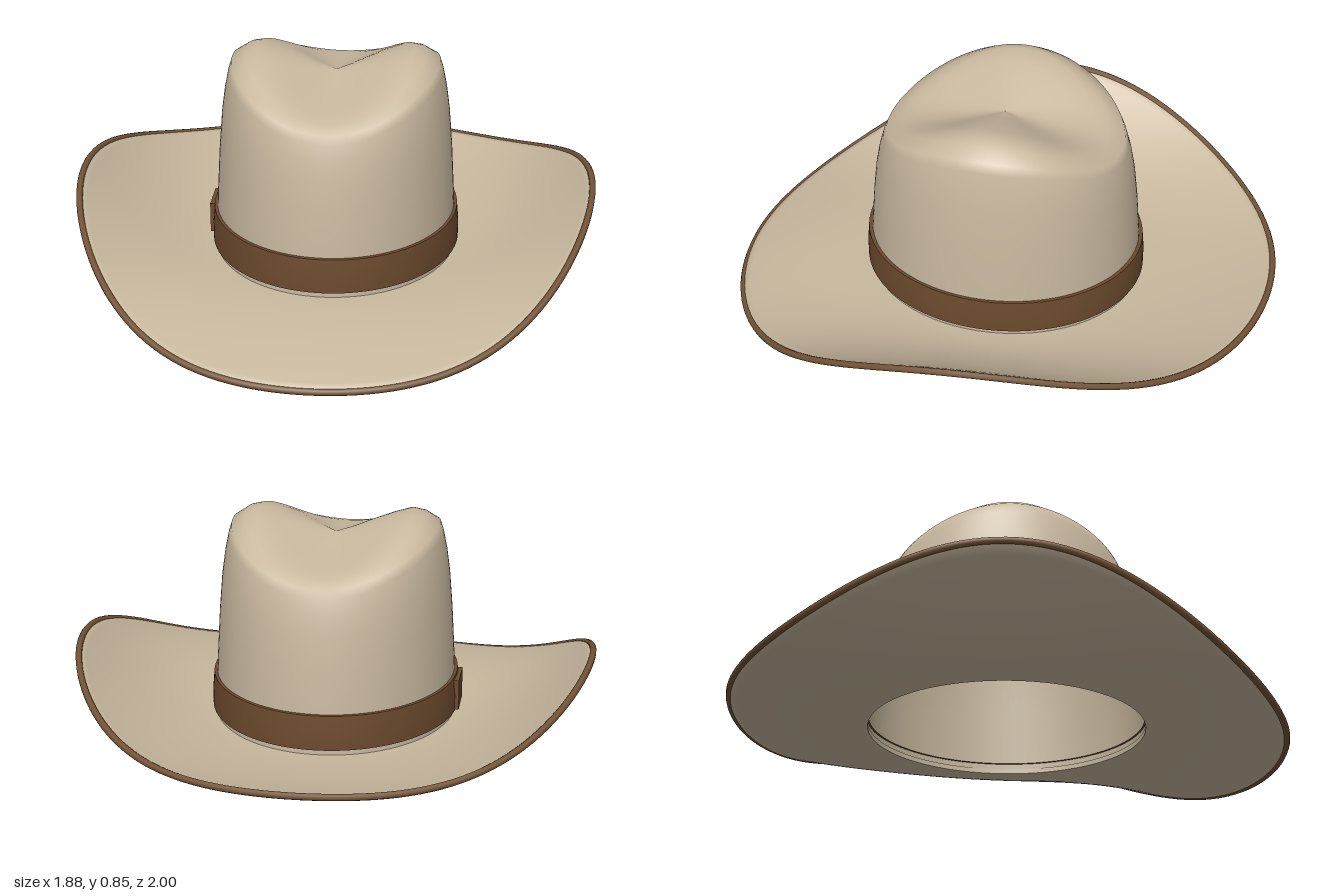
import * as THREE from 'three';

const SEG = 128;
const lerp = THREE.MathUtils.lerp;

// Skin a list of closed rings; each ring maps an angle (0 = front, PI/2 = left side) to [x, y, z].
function loft(rings) {
  const pos = [], index = [];
  rings.forEach((ring, j) => {
    for (let i = 0; i < SEG; i++) {
      pos.push(...ring((i / SEG) * Math.PI * 2));
      if (j === rings.length - 1) continue;
      const a = j * SEG + i, b = j * SEG + ((i + 1) % SEG);
      index.push(a, a + SEG, b, b, a + SEG, b + SEG);
    }
  });
  const geo = new THREE.BufferGeometry();
  geo.setAttribute('position', new THREE.Float32BufferAttribute(pos, 3));
  geo.setIndex(index);
  geo.computeVertexNormals();
  return geo;
}

// Brim surface: flat near the crown, sides curled up, front dipped, back slightly raised.
function brimPoint(t, a, dy = 0) {
  const s = Math.sin(a), c = Math.cos(a);
  const edge = 0.0925 - 0.0795 * c + 0.2625 * s ** 4;
  return [
    lerp(0.432, 0.929, t) * s,
    lerp(0.1, edge, t ** 1.8) + dy,
    lerp(0.495, 0.986, t) * c,
  ];
}

export function createModel() {
  const felt = new THREE.MeshStandardMaterial({ color: 0xc8b89e, side: THREE.DoubleSide });
  felt.name = 'taupe felt';
  const leather = new THREE.MeshStandardMaterial({ color: 0x6b4a2e });
  leather.name = 'brown leather';
  const binding = new THREE.MeshStandardMaterial({ color: 0x735336 });
  binding.name = 'brown binding';

  const hat = new THREE.Group();
  hat.name = 'hat';
  const add = (name, geo, mat) => {
    const mesh = new THREE.Mesh(geo, mat);
    mesh.name = name;
    hat.add(mesh);
    return mesh;
  };

  // Brim: top skin outward, underside back inward, then the wall of the head opening.
  const rings = [], steps = 18, half = 0.009;
  for (let k = 0; k <= steps; k++) rings.push(a => brimPoint(k / steps, a, half));
  for (let k = steps; k >= 0; k--) rings.push(a => brimPoint(k / steps, a, -half));
  rings.push(a => brimPoint(0, a, -half), a => brimPoint(0, a, half));
  add('brim', loft(rings), felt);

  // Bound edge of the brim.
  const edgePoints = Array.from({ length: 64 }, (_, i) =>
    new THREE.Vector3(...brimPoint(1, (i / 64) * Math.PI * 2)));
  const edgeCurve = new THREE.CatmullRomCurve3(edgePoints, true);
  add('brimBinding', new THREE.TubeGeometry(edgeCurve, 160, 0.012, 8, true), binding);

  // Crown: pinched top (radius, height at front and back, height at sides), then the wall.
  const RX = 0.438, RZ = 0.502;
  const top = [
    [0, 0.765, 0.765], [0.16, 0.75, 0.785], [0.32, 0.735, 0.812], [0.5, 0.722, 0.837],
    [0.64, 0.712, 0.851], [0.74, 0.702, 0.838], [0.85, 0.68, 0.805],
  ];
  const wall = [[0.875, 0.95], [0.905, 0.86], [0.932, 0.74], [0.958, 0.55], [0.982, 0.3], [1, 0]];
  const crownRings = [
    ...top.map(([r, front, side]) => a =>
      [RX * r * Math.sin(a), lerp(front, side, Math.sin(a) ** 2), RZ * r * Math.cos(a)]),
    ...wall.map(([r, f]) => a =>
      [RX * r * Math.sin(a), lerp(0.093, lerp(0.68, 0.805, Math.sin(a) ** 2), f), RZ * r * Math.cos(a)]),
  ];
  add('crown', loft(crownRings), felt);

  // Hat band: repeated rings keep its top and bottom edges crisp.
  const band = [[-0.016, 0.255], [0.005, 0.255], [0.005, 0.255], [0.011, 0.19],
    [0.011, 0.13], [0.011, 0.13], [-0.01, 0.13]];
  add('hatBand', loft(band.map(([d, y]) => a =>
    [(RX + d) * Math.sin(a), y, (RZ + d) * Math.cos(a)])), leather);

  // Band keeper on the right side.
  const keeper = add('bandKeeper', new THREE.BoxGeometry(0.022, 0.112, 0.14), leather);
  keeper.position.set(-0.447, 0.191, -0.01);

  return hat;
}
